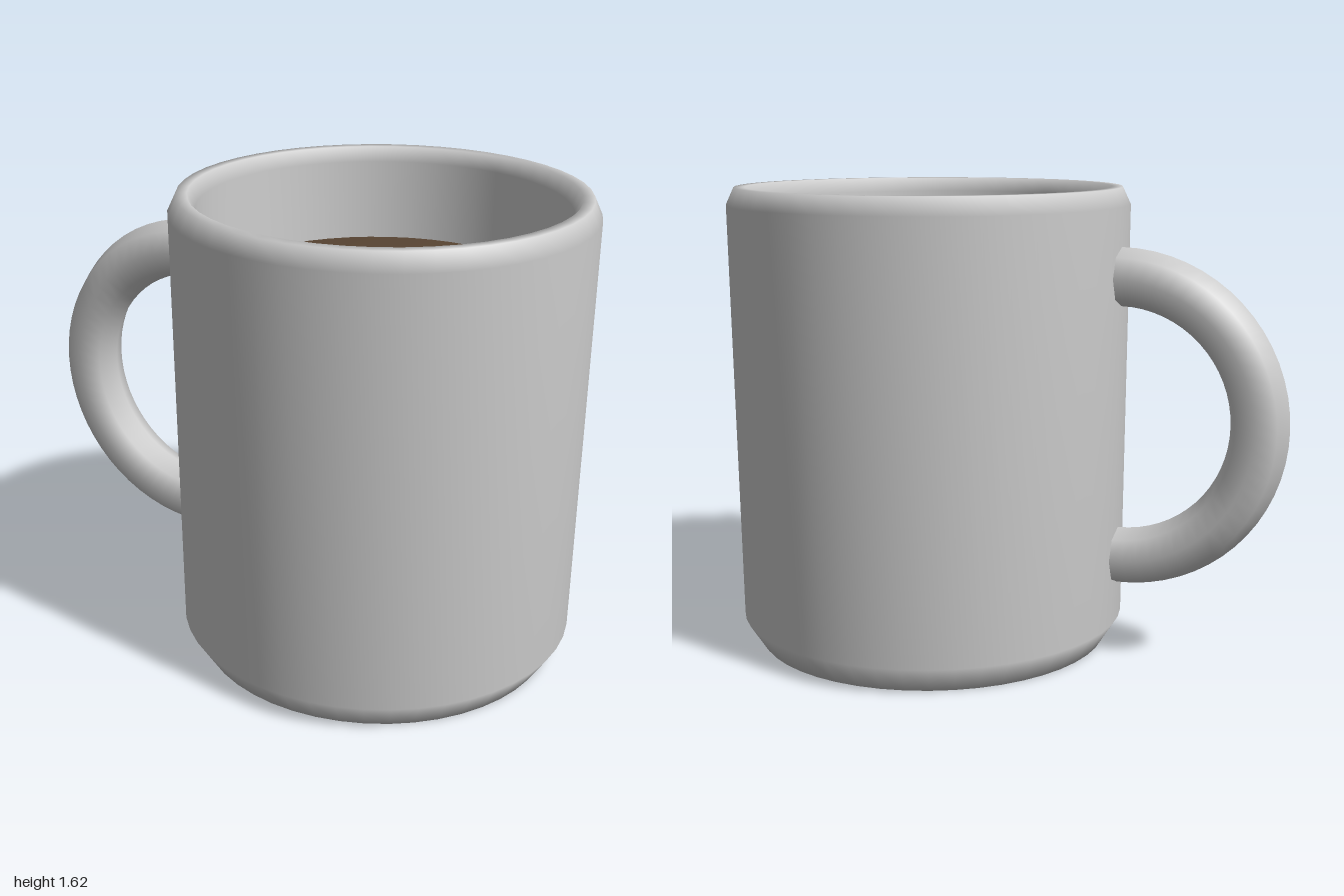
import * as THREE from 'three';
import { mergeVertices } from 'three/addons/utils/BufferGeometryUtils.js';

const CENTRE_X = 0.295;

export function createModel() {
  const mug = new THREE.Group();
  mug.name = 'mug';
  const ceramic = new THREE.MeshStandardMaterial({ color: 0xcccccc, side: THREE.DoubleSide });
  const coffeeBrown = new THREE.MeshStandardMaterial({ color: 0x5a4634 });

  const add = (name, geometry, material, x, y) => {
    const mesh = new THREE.Mesh(geometry, material);
    mesh.name = name;
    mesh.position.set(x, y, 0);
    mug.add(mesh);
  };

  // Body: one closed profile, up the outside, over the rim and down the inside
  const profile = [
    [0, 0], [0.63, 0], [0.69, 0.095], [0.705, 1.565], [0.677, 1.625],
    [0.64, 1.625], [0.615, 1.575], [0.585, 0.16], [0.53, 0.1], [0, 0.1],
  ].map(([r, y]) => new THREE.Vector2(r, y));
  add('body', new THREE.LatheGeometry(profile, 48), ceramic, CENTRE_X, 0);

  // Coffee: a shallow disc with normals blended softly over its edge
  const disc = new THREE.CylinderGeometry(0.585, 0.585, 0.06, 48);
  disc.deleteAttribute('normal');
  disc.deleteAttribute('uv');
  const coffee = mergeVertices(disc);
  coffee.computeVertexNormals();
  add('coffee', coffee, coffeeBrown, CENTRE_X, 1.27);

  // Handle: half ring with an eight-sided section, meeting the body wall
  const handle = new THREE.TorusGeometry(0.488, 0.1, 8, 32, Math.PI);
  handle.rotateZ(Math.PI / 2);
  add('handle', handle, ceramic, -0.412, 0.845);

  return mug;
}
